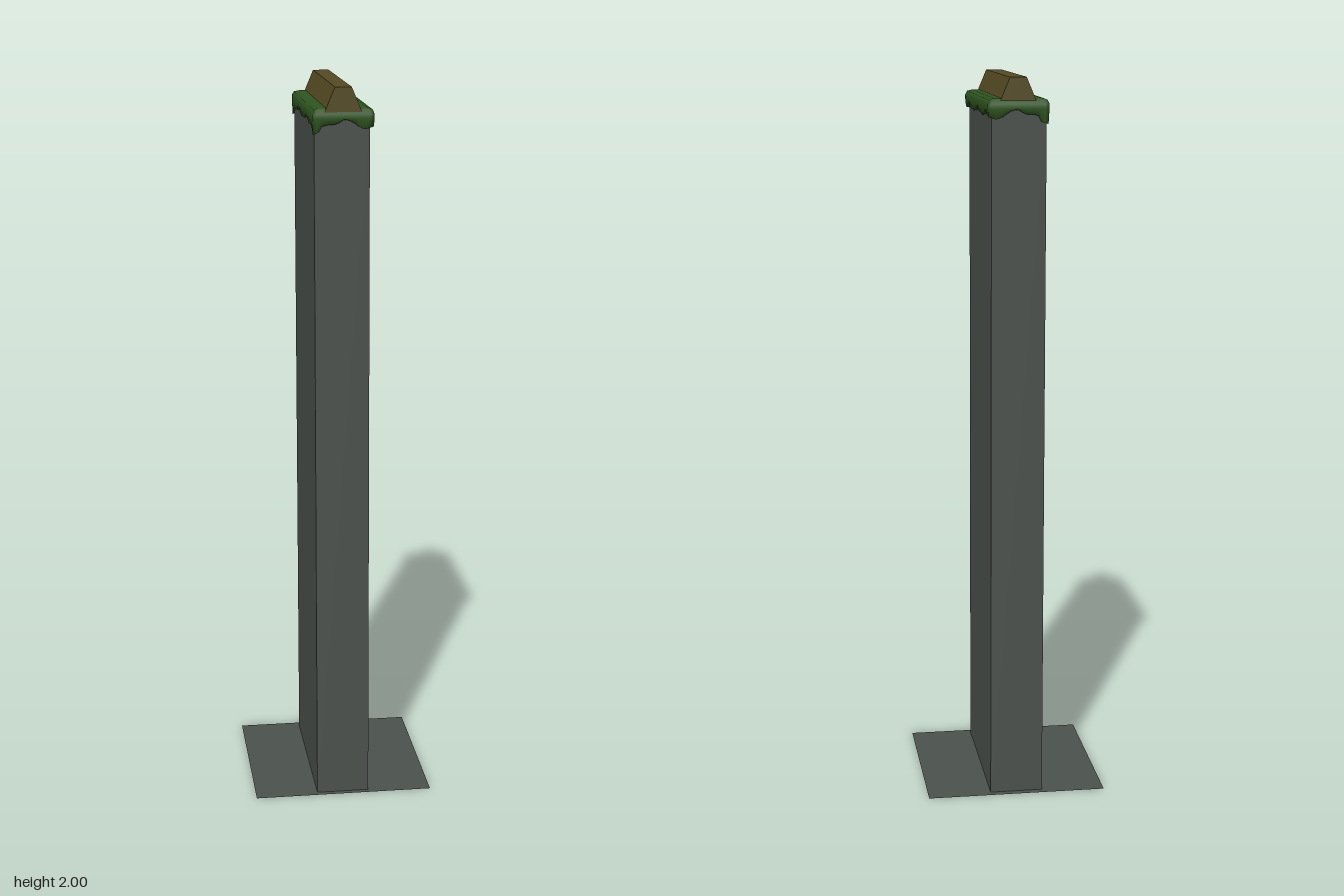
import * as THREE from 'three';

const stone = new THREE.MeshStandardMaterial({ color: 0x4b514c, side: THREE.DoubleSide });
stone.name = 'stone';
const moss = new THREE.MeshStandardMaterial({ color: 0x2f5420, side: THREE.DoubleSide });
moss.name = 'moss';
const earth = new THREE.MeshStandardMaterial({ color: 0x544a22 });
earth.name = 'earth';

function add(group, name, geometry, material) {
  const mesh = new THREE.Mesh(geometry, material);
  mesh.name = name;
  group.add(mesh);
  return mesh;
}

// Rectangle outline, counter-clockwise from above, with n points along each side
function outline(hx, hz, n) {
  const corners = [[hx, hz], [hx, -hz], [-hx, -hz], [-hx, hz]];
  const points = [];
  corners.forEach(([x, z], i) => {
    const [x2, z2] = corners[(i + 1) % 4];
    for (let k = 0; k < n; k++) points.push([x + (x2 - x) * k / n, z + (z2 - z) * k / n]);
  });
  return points;
}

// Ragged lower edge of the moss: hangs lowest at the corners, rises mid-end
function hem(x, z) {
  if (Math.abs(z) > 0.235) {
    return 1.915 - 0.022 * Math.min(1, Math.abs(x) / 0.06) - (x < -0.07 ? 0.012 : 0)
      + 0.004 * Math.sin(x * 90);
  }
  return 1.902 + 0.006 * Math.sin(z * 34 + x * 20) + 0.004 * Math.sin(z * 71 + 1);
}

// Draped cap built from stacked rings
function mossGeometry() {
  const n = 16;
  const rings = [
    [0.018, 1.945], [0.005, 1.941], [0, 1.93], [0, 1.918], [0.002, 0], [0.014, 0.004],
  ];
  const base = outline(0.082, 0.241, n);
  const count = base.length;
  const positions = [];
  const index = [];
  rings.forEach(([inset, y], r) => {
    outline(0.082 - inset, 0.241 - inset, n).forEach(([x, z], i) => {
      const [bx, bz] = base[i];
      positions.push(x - 0.003, r < 4 ? y : hem(bx, bz) + y, z);
    });
  });
  for (let r = 0; r < rings.length - 1; r++) {
    for (let i = 0; i < count; i++) {
      const a = r * count + i, b = r * count + (i + 1) % count;
      index.push(a, a + count, b, b, a + count, b + count);
    }
  }
  const centre = positions.length / 3;
  positions.push(-0.003, 1.945, 0);
  for (let i = 0; i < count; i++) index.push(centre, i, (i + 1) % count);
  const g = new THREE.BufferGeometry();
  g.setAttribute('position', new THREE.Float32BufferAttribute(positions, 3));
  g.setIndex(index);
  g.computeVertexNormals();
  return g;
}

export function createModel() {
  const group = new THREE.Group();
  group.name = 'mossyWall';

  // Thin ground plate
  add(group, 'groundPlate', new THREE.PlaneGeometry(0.5, 0.5).rotateX(-Math.PI / 2), stone);

  // Tall slab leaning very slightly towards -x
  const slab = new THREE.BoxGeometry(0.147, 1.93, 0.464).translate(0, 0.965, 0.002);
  const p = slab.attributes.position;
  for (let i = 0; i < p.count; i++) p.setX(i, p.getX(i) - (p.getY(i) > 1 ? 0.006 : 0.001));
  slab.computeVertexNormals();
  add(group, 'wallSlab', slab, stone);

  // Moss draped over the top of the slab
  add(group, 'mossCap', mossGeometry(), moss);

  // Trapezoid ridge along the top
  const profile = new THREE.Shape([
    [-0.052, 1.935], [0.046, 1.935], [0.04, 1.95], [0.019, 2], [-0.025, 2], [-0.046, 1.95],
  ].map(([x, y]) => new THREE.Vector2(x, y)));
  const ridge = new THREE.ExtrudeGeometry(profile, { depth: 0.476, bevelEnabled: false });
  add(group, 'earthRidge', ridge.translate(0, 0, -0.237), earth);

  return group;
}
